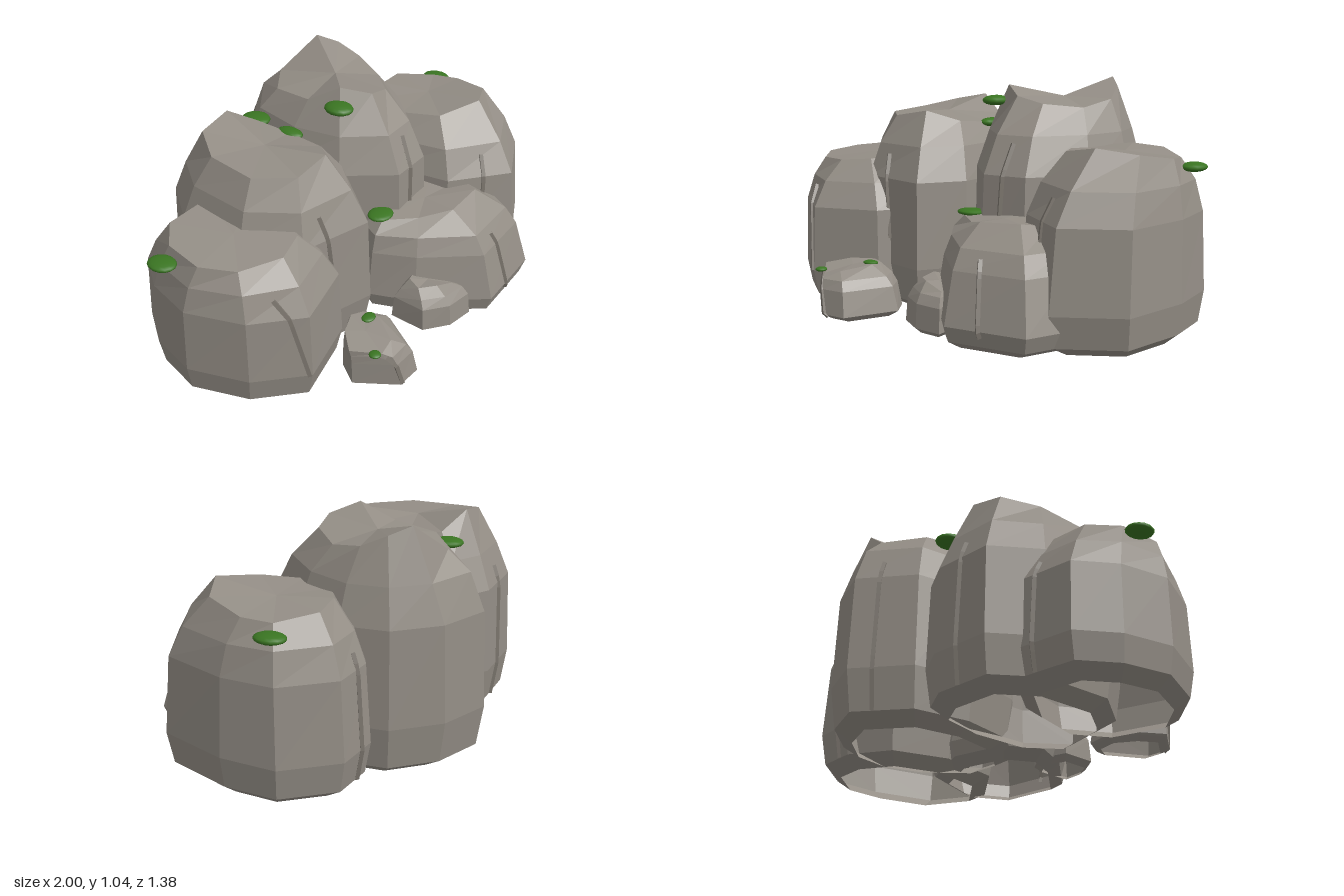
import * as THREE from 'three';

const stone = new THREE.MeshStandardMaterial({ color: 0x948e86, side: THREE.DoubleSide });
stone.name = 'stone';
const darkStone = new THREE.MeshStandardMaterial({ color: 0x7c766e });
darkStone.name = 'dark stone';
const moss = new THREE.MeshStandardMaterial({ color: 0x3a7522 });
moss.name = 'moss green';

// Each boulder: widest outline [x, z] and matching top rim [x, y, z], counter-clockwise from the back.
// Taper is how far the shoulder leans to the rim. Cracks run from [corner, ring] to [corner, ring].
const boulders = {
  outerRightBoulder: {
    base: 0, taper: .08,
    outline: [[-.5, -.46], [-.8, -.44], [-.92, -.28], [-.98, -.06], [-.89, .2], [-.7, .38], [-.39, .3], [-.26, .1], [-.32, -.2]],
    rim: [[-.55, .68, -.3], [-.77, .68, -.3], [-.88, .67, -.2], [-.91, .66, -.02], [-.83, .65, .12], [-.66, .66, .21], [-.52, .67, .17], [-.43, .68, .05], [-.43, .69, -.15]],
    cracks: [[4.95, 2, 4.5, 3.7], [.35, 1, .42, 3.5]],
  },
  innerRightBoulder: {
    base: 0, taper: .08,
    outline: [[-.2, -.57], [-.48, -.57], [-.63, -.38], [-.66, -.03], [-.52, .2], [-.18, .3], [-.03, .12], [0, -.22], [-.05, -.48]],
    rim: [[-.26, .94, -.42], [-.42, .91, -.42], [-.52, .88, -.28], [-.54, .87, -.05], [-.42, .87, .1], [-.25, .9, .11], [-.14, .85, 0], [-.1, .83, -.2], [-.14, .86, -.35]],
    cracks: [[4.45, 2.3, 4.3, 3.7], [.4, 1, .48, 3.5]],
  },
  tallBoulder: {
    base: 0, taper: .09,
    outline: [[.2, -.69], [-.03, -.52], [-.09, -.25], [-.05, .03], [.12, .25], [.33, .25], [.53, .03], [.61, -.2], [.58, -.42], [.42, -.6]],
    rim: [[.23, .91, -.52], [.06, .92, -.4], [.03, .94, -.2], [.08, 1.02, -.06], [.18, .98, .04], [.3, .95, .03], [.43, .93, -.1], [.49, .96, -.25], [.47, 1.01, -.36], [.41, 1.045, -.44]],
    cracks: [[4.4, 2.5, 4.52, 3.8], [.35, 1, .4, 3.5]],
  },
  outerLeftBoulder: {
    base: 0, taper: .14,
    outline: [[.62, -.36], [.42, -.25], [.32, .02], [.37, .35], [.62, .565], [.9, .43], [.99, .12], [.99, -.13], [.82, -.34]],
    rim: [[.62, .78, -.2], [.5, .77, -.13], [.44, .77, .03], [.5, .78, .2], [.68, .815, .3], [.84, .79, .23], [.91, .76, .05], [.89, .75, -.08], [.76, .77, -.21]],
    cracks: [[3.52, 2.4, 3.6, 3.7], [8.65, 1, 8.65, 3.5]],
  },
  frontBoulder: {
    base: .01, taper: .24,
    outline: [[.3, 0], [.02, .05], [-.08, .22], [0, .42], [.22, .69], [.58, .67], [.7, .45], [.6, .15]],
    rim: [[.28, .5, .15], [.04, .48, .14], [.02, .47, .22], [.13, .47, .34], [.24, .5, .45], [.43, .51, .45], [.5, .49, .34], [.46, .5, .2]],
    cracks: [[4.43, 1.6, 4.35, 3.6]],
  },
  smallLeftRock: {
    base: .03, taper: .12,
    outline: [[.06, .32], [-.08, .35], [-.085, .52], [.02, .6], [.15, .62], [.16, .4]],
    rim: [[.06, .24, .38], [-.02, .25, .4], [-.04, .235, .46], [.02, .24, .52], [.11, .21, .54], [.12, .22, .43]],
    cracks: [],
  },
  smallRightRock: {
    base: .03, taper: .2,
    outline: [[-.36, .3], [-.48, .37], [-.55, .47], [-.44, .64], [-.32, .645], [-.19, .43], [-.24, .33]],
    rim: [[-.38, .25, .34], [-.48, .25, .38], [-.56, .235, .46], [-.48, .22, .57], [-.4, .235, .56], [-.32, .25, .44], [-.33, .25, .37]],
    cracks: [[3.2, 1.3, 2.7, 5]],
  },
};

// Rings from the undercut foot, over the belly and shoulder, to the tilted rim
function makeRings({ base, taper, outline, rim }) {
  const n = outline.length;
  const mean = (list, k) => list.reduce((s, p) => s + p[k], 0) / n;
  const cx = mean(outline, 0), cz = mean(outline, 1), height = mean(rim, 1);
  const foot = (y, k) => outline.map(([x, z]) =>
    new THREE.Vector3(cx + (x - cx) * k, y, cz + (z - cz) * k));
  const upper = (h, t) => outline.map(([x, z], i) => new THREE.Vector3(
    x + (rim[i][0] - x) * t, height * h, z + (rim[i][2] - z) * t));
  const top = rim.map(p => new THREE.Vector3(...p));
  return [foot(base, .75), foot(.05, .94), upper(.24, 0), upper(.68, taper), upper(.85, .45), top];
}

// Faceted boulder skin, closed on top and open underneath
function boulderGeometry(rings) {
  const points = [];
  const rim = rings[rings.length - 1];
  const n = rim.length;
  const high = rim.reduce((s, p) => s.add(p), new THREE.Vector3()).divideScalar(n);
  for (let i = 0; i < n; i++) {
    const j = (i + 1) % n;
    for (let r = 0; r + 1 < rings.length; r++) {
      const a = rings[r], b = rings[r + 1];
      points.push(a[i], a[j], b[j], a[i], b[j], b[i]);
    }
    points.push(rim[i], rim[j], high);
  }
  const geometry = new THREE.BufferGeometry().setFromPoints(points);
  geometry.computeVertexNormals();
  return geometry;
}

// Point on the skin: u counts outline corners, v counts rings
function onSkin(rings, u, v) {
  const n = rings[0].length, i = Math.floor(u) % n, r = Math.floor(v);
  const row = k => rings[k][i].clone().lerp(rings[k][(i + 1) % n], u - Math.floor(u));
  return row(r).lerp(row(Math.min(r + 1, rings.length - 1)), v - r);
}

// Narrow ridge running up a boulder face
function crackGeometry(rings, [u0, v0, u1, v1]) {
  const stops = [v0];
  for (let v = Math.floor(v0) + 1; v < v1; v++) stops.push(v);
  stops.push(v1);
  const pts = stops.map(v => onSkin(rings, u0 + (u1 - u0) * (v - v0) / (v1 - v0), v));
  const path = new THREE.CurvePath();
  for (let k = 1; k < pts.length; k++) path.add(new THREE.LineCurve3(pts[k - 1], pts[k]));
  const geometry = new THREE.TubeGeometry(path, 12, .012, 4, false).toNonIndexed();
  geometry.computeVertexNormals();
  return geometry;
}

export function createModel() {
  const model = new THREE.Group();
  model.name = 'boulderCluster';
  const add = (geometry, material, name, parent) => {
    const mesh = new THREE.Mesh(geometry, material);
    mesh.name = name;
    parent.add(mesh);
    return mesh;
  };

  // Boulders with their cracks
  for (const [name, data] of Object.entries(boulders)) {
    const group = new THREE.Group();
    group.name = name;
    model.add(group);
    const rings = makeRings(data);
    add(boulderGeometry(rings), stone, 'rock', group);
    data.cracks.forEach(c => add(crackGeometry(rings, c), darkStone, 'crack', group));
  }

  // Moss pads: x, y, z, half width, half height, half depth
  const pad = new THREE.SphereGeometry(1, 14, 8);
  [
    [-.945, .628, -.18, .055, .017, .065], [-.1, .83, -.2, .04, .02, .065],
    [-.095, .832, -.4, .062, .02, .068], [.03, .95, -.03, .058, .023, .068],
    [.942, .712, -.095, .055, .02, .068], [.04, .482, .195, .065, .015, .055],
    [-.35, .25, .41, .036, .01, .028], [-.51, .23, .555, .026, .01, .026],
  ].forEach(([x, y, z, w, h, d]) => {
    const mesh = add(pad, moss, 'mossPad', model);
    mesh.position.set(x, y, z);
    mesh.scale.set(w, h, d);
  });
  return model;
}
